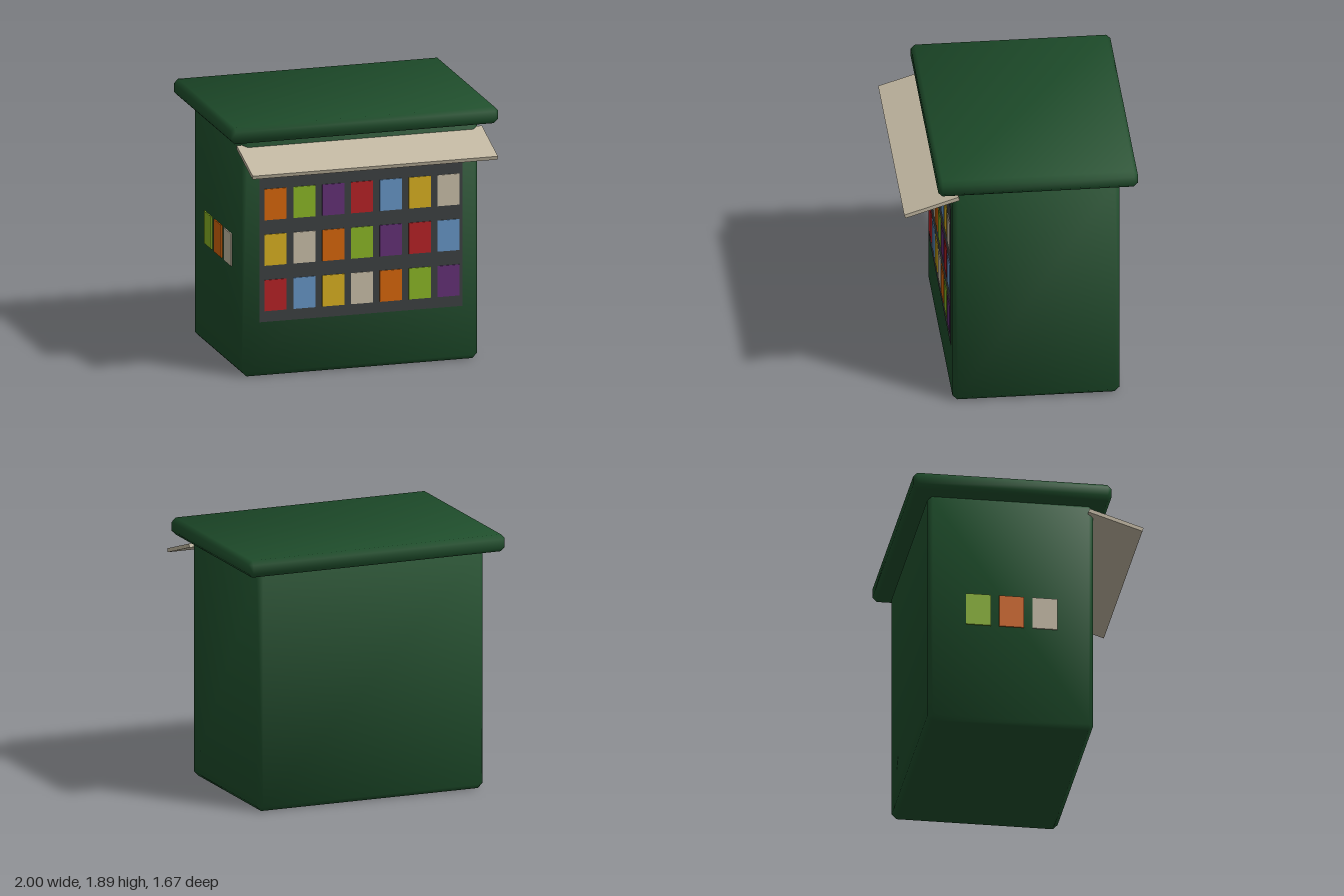
import * as THREE from 'three';
import { ConvexGeometry } from 'three/addons/geometries/ConvexGeometry.js';

// Box with chamfered edges and soft corner normals
function chamferBox(w, h, d, c) {
  const half = [w / 2, h / 2, d / 2];
  const points = [];
  for (const sx of [-1, 1]) for (const sy of [-1, 1]) for (const sz of [-1, 1]) {
    for (let axis = 0; axis < 3; axis++) {
      const p = [sx, sy, sz].map((s, i) => s * (half[i] - (i === axis ? 0 : c)));
      points.push(new THREE.Vector3(...p));
    }
  }
  const geometry = new ConvexGeometry(points);
  const pos = geometry.attributes.position;
  const normal = geometry.attributes.normal;
  const n = new THREE.Vector3();
  for (let i = 0; i < pos.count; i++) {
    const p = [pos.getX(i), pos.getY(i), pos.getZ(i)];
    // the outermost axis of a corner leads, its neighbours bend it
    n.set(...p.map((v, k) => Math.sign(v) * (Math.abs(v) > half[k] - c / 2 ? 7 : 3))).normalize();
    normal.setXYZ(i, n.x, n.y, n.z);
  }
  return geometry;
}

export function createModel() {
  const group = new THREE.Group();
  const material = (name, color) => {
    const m = new THREE.MeshStandardMaterial({ color });
    m.name = name;
    return m;
  };
  const green = material('darkGreen', 0x1e4d2b);
  const grey = material('darkGrey', 0x3a3e3f);
  const beige = material('beige', 0xc2b8a2);
  // Cover colours in repeating order
  const covers = [
    material('red', 0xb02024),
    material('blue', 0x6290c0),
    material('yellow', 0xd1aa1e),
    beige,
    material('orange', 0xd06208),
    material('lime', 0x86b024),
    material('purple', 0x602e72),
  ];

  const add = (name, geometry, mat, x, y, z) => {
    const mesh = new THREE.Mesh(geometry, mat);
    mesh.name = name;
    mesh.position.set(x, y, z);
    group.add(mesh);
    return mesh;
  };

  // Kiosk body and overhanging roof
  add('body', chamferBox(1.76, 1.77, 1.2, 0.035), green, 0, 0.885, -0.115);
  add('roof', chamferBox(2, 0.125, 1.435, 0.03), green, 0, 1.826, -0.118);

  // Sloping awning over the front
  const awning = add('awning', new THREE.BoxGeometry(1.835, 0.028, 0.41), beige, 0, 1.642, 0.64);
  awning.rotation.x = 0.31;

  // Display panel with three rows of covers
  add('displayPanel', new THREE.BoxGeometry(1.52, 1.125, 0.008), grey, 0, 0.967, 0.486);
  const frontCover = new THREE.BoxGeometry(0.165, 0.23, 0.009);
  for (let row = 0; row < 3; row++) {
    for (let col = 0; col < 7; col++) {
      add('frontCover', frontCover, covers[(col + row * 2) % 7],
        (col - 3) * 0.2157 + 0.007, 0.6 + row * 0.337, 0.491);
    }
  }

  // Three covers on the side wall
  const sideCover = new THREE.BoxGeometry(0.009, 0.24, 0.18);
  for (let i = 0; i < 3; i++) {
    add('sideCover', sideCover, covers[3 + i], -0.8855, 0.88, 0.13 - i * 0.24);
  }
  return group;
}
